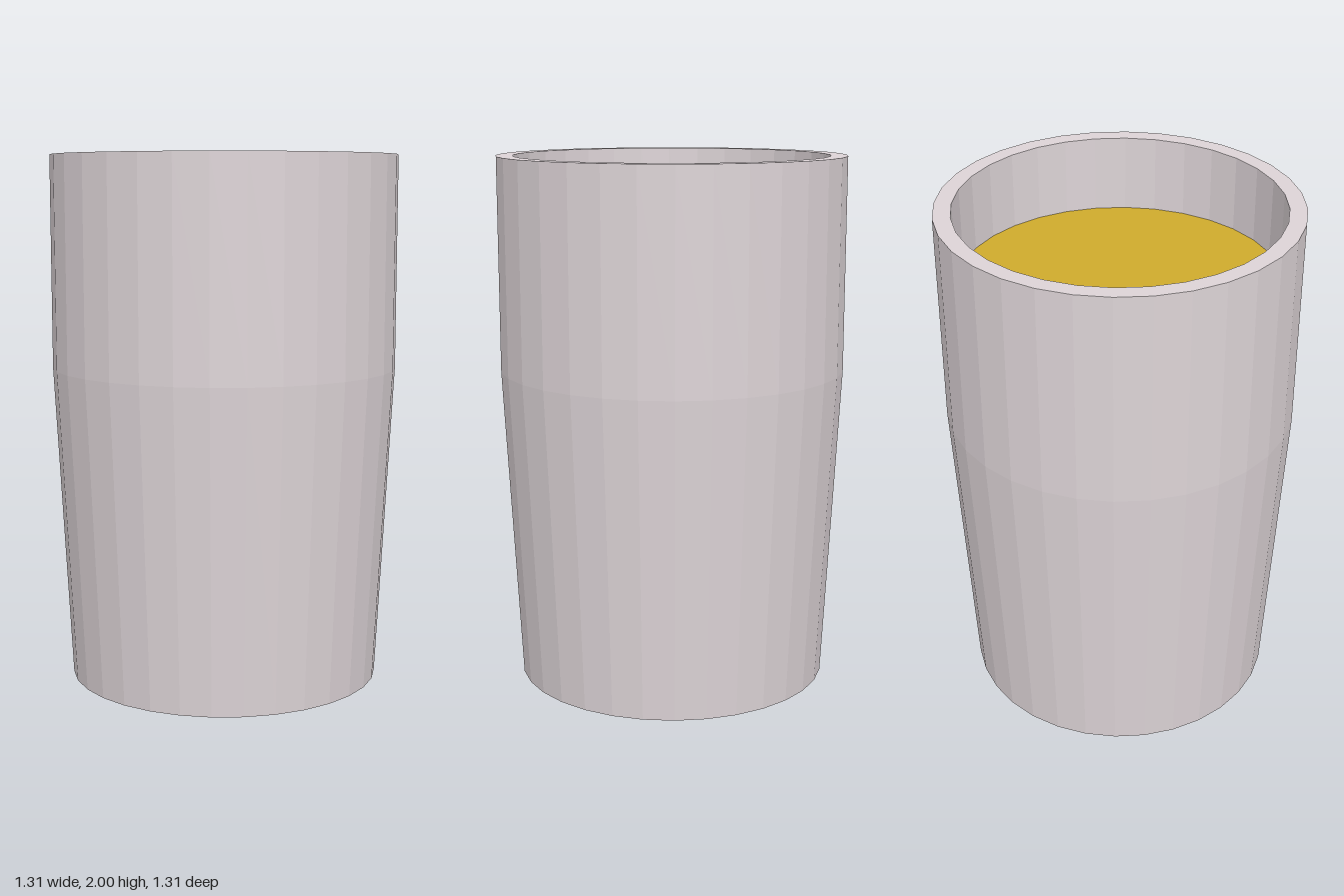
import * as THREE from 'three';

const SIDES = 32;

// Revolves a list of [radius, height] points into a faceted mesh
function turned(name, profile, color) {
  const points = profile.map(([r, y]) => new THREE.Vector2(r, y));
  const material = new THREE.MeshStandardMaterial({ color, flatShading: true });
  const mesh = new THREE.Mesh(new THREE.LatheGeometry(points, SIDES), material);
  mesh.name = name;
  return mesh;
}

export function createModel() {
  const model = new THREE.Group();
  model.name = 'filledTumbler';

  // Cup: base, tapered lower wall, straight upper wall, flat rim, inner wall, floor
  model.add(turned('cup', [
    [0, 0], [0.593, 0], [0.655, 1.2], [0.655, 2],
    [0.592, 2], [0.592, 1.2], [0.535, 0.07], [0, 0.07],
  ], 0xddd4d7));

  // Drink: fills the cup to just below the rim
  model.add(turned('drink', [
    [0, 0.08], [0.53, 0.08], [0.588, 1.2], [0.592, 1.71], [0, 1.71],
  ], 0xcfab2c));

  return model;
}
